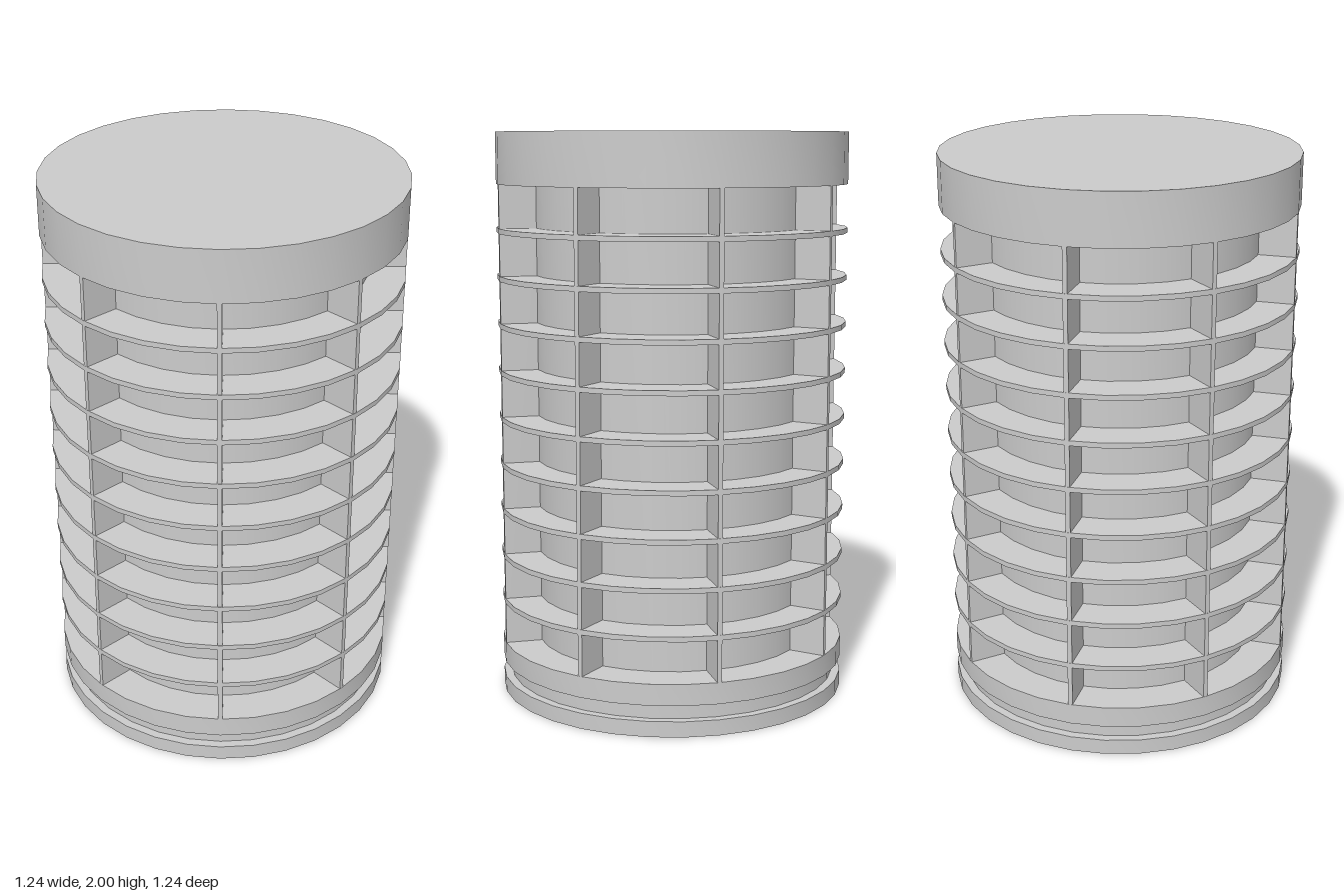
import * as THREE from 'three';
import { toCreasedNormals } from 'three/addons/utils/BufferGeometryUtils.js';

const SIDES = 32;
const OUTER = 0.62; // radius of cap, base and fins
const CORE = 0.49;  // radius of the inner body
const BASE_TOP = 0.185;
const CAP_BOTTOM = 1.82;

const material = new THREE.MeshStandardMaterial({ color: 0xcccccc });

// Turned part: profile of [radius, y], listed bottom to top along the outside
function turned(name, profile) {
  const points = profile.map(([r, y]) => new THREE.Vector2(r, y));
  const geometry = toCreasedNormals(new THREE.LatheGeometry(points, SIDES), 0.6);
  const mesh = new THREE.Mesh(geometry, material);
  mesh.name = name;
  return mesh;
}

export function createModel() {
  const group = new THREE.Group();
  group.name = 'finnedCylinder';

  // Base with a groove round its side and a shallow recess underneath
  group.add(turned('base', [
    [0, 0.012], [0.5, 0.012], [0.5, 0], [OUTER, 0], [OUTER, 0.055],
    [0.59, 0.055], [0.59, 0.11], [OUTER, 0.11], [OUTER, BASE_TOP], [CORE, BASE_TOP],
  ]));

  // Inner body
  group.add(turned('core', [[CORE, BASE_TOP], [CORE, CAP_BOTTOM]]));

  // Solid cap
  group.add(turned('cap', [
    [CORE, CAP_BOTTOM], [OUTER, CAP_BOTTOM], [OUTER, 2], [0, 2],
  ]));

  // Nine thin ring fins
  const rings = new THREE.Group();
  rings.name = 'ringFins';
  const half = 0.009;
  for (let i = 0; i < 9; i++) {
    const ring = turned('ringFin', [
      [CORE, -half], [OUTER, -half], [OUTER, half], [CORE, half],
    ]);
    ring.position.y = 0.34 + i * 0.165;
    rings.add(ring);
  }
  group.add(rings);

  // Eight upright ribs between base and cap
  const ribs = new THREE.Group();
  ribs.name = 'uprightRibs';
  const inner = CORE - 0.01;
  const ribGeometry = new THREE.BoxGeometry(0.016, CAP_BOTTOM - BASE_TOP, OUTER - inner);
  ribGeometry.translate(0, (CAP_BOTTOM + BASE_TOP) / 2, (OUTER + inner) / 2 - 0.001);
  for (let i = 0; i < 8; i++) {
    const rib = new THREE.Mesh(ribGeometry, material);
    rib.name = 'uprightRib';
    rib.rotation.y = (i * Math.PI) / 4;
    ribs.add(rib);
  }
  group.add(ribs);

  return group;
}
